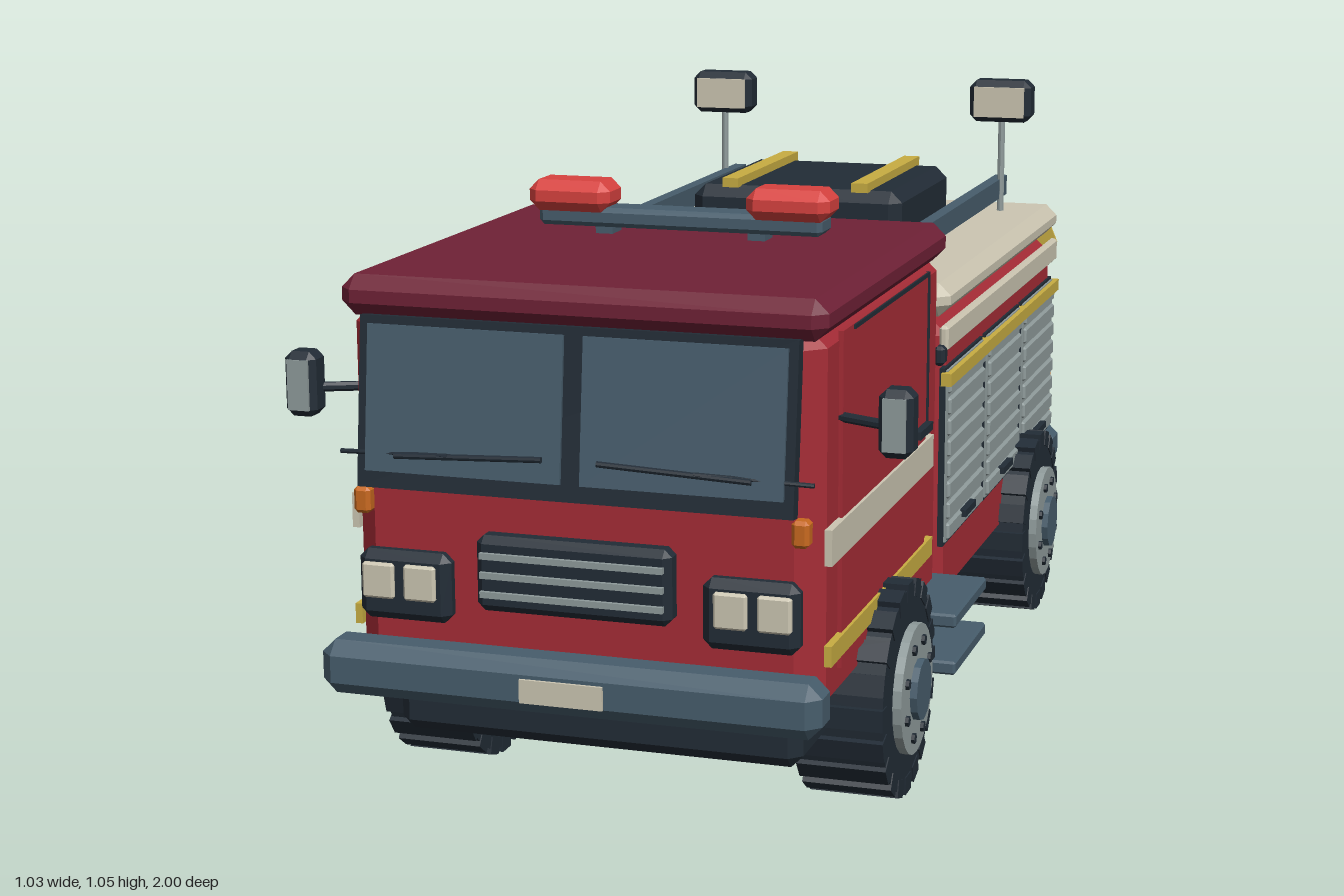
import * as THREE from 'three';
import { ConvexGeometry } from 'three/addons/geometries/ConvexGeometry.js';

const mat = (name, color, flat = true) => {
  const m = new THREE.MeshStandardMaterial({ color, flatShading: flat });
  m.name = name;
  return m;
};
const M = {
  red: mat('body red', 0xa62c36),
  maroon: mat('roof maroon', 0x6f2136),
  cream: mat('cream', 0xccc6b2),
  dark: mat('dark rubber', 0x222c36),
  steel: mat('steel blue', 0x475d6c),
  grey: mat('light grey', 0x8f9b9b),
  yellow: mat('yellow', 0xc8ad42),
  orange: mat('orange', 0xc8691f),
  beacon: mat('beacon red', 0xd8423f),
};
const SIDES = [1, -1];

// Box given by its ranges, with every edge cut by c
function chamferBox(x0, x1, y0, y1, z0, z1, c) {
  const h = [(x1 - x0) / 2, (y1 - y0) / 2, (z1 - z0) / 2];
  const pts = [];
  for (const sx of SIDES) for (const sy of SIDES) for (const sz of SIDES) {
    for (let k = 0; k < 3; k++) {
      const d = h.map((v, i) => (i === k ? v : v - c));
      pts.push(new THREE.Vector3(sx * d[0], sy * d[1], sz * d[2]));
    }
  }
  return new ConvexGeometry(pts);
}

export function createModel() {
  const model = new THREE.Group();
  model.name = 'fireTruck';

  const add = (name, geo, m, x = 0, y = 0, z = 0, parent = model) => {
    const mesh = new THREE.Mesh(geo, m);
    mesh.name = name;
    mesh.position.set(x, y, z);
    parent.add(mesh);
    return mesh;
  };
  // Block by ranges; c is the chamfer
  const block = (name, m, x0, x1, y0, y1, z0, z1, c = 0, parent = model) => add(name,
    c ? chamferBox(x0, x1, y0, y1, z0, z1, c) : new THREE.BoxGeometry(x1 - x0, y1 - y0, z1 - z0),
    m, (x0 + x1) / 2, (y0 + y1) / 2, (z0 + z1) / 2, parent);
  // Same block on both sides, given for the left (+x) side
  const pair = (name, m, x0, x1, y0, y1, z0, z1, c = 0) => {
    block(name + 'Left', m, x0, x1, y0, y1, z0, z1, c);
    block(name + 'Right', m, -x1, -x0, y0, y1, z0, z1, c);
  };
  // Thin round bar between two points
  const rod = (name, m, a, b, r) => {
    const p = new THREE.Vector3(...a), q = new THREE.Vector3(...b);
    const mid = p.clone().add(q).multiplyScalar(0.5);
    const mesh = add(name, new THREE.CylinderGeometry(r, r, p.distanceTo(q), 8), m, mid.x, mid.y, mid.z);
    mesh.quaternion.setFromUnitVectors(new THREE.Vector3(0, 1, 0), q.sub(p).normalize());
  };

  // Chassis and main bodies
  block('chassis', M.dark, -0.34, 0.34, 0.14, 0.26, -0.88, 0.85, 0.02);
  block('cab', M.red, -0.385, 0.385, 0.225, 0.86, 0.115, 0.905, 0.04);
  block('cabRoof', M.maroon, -0.395, 0.395, 0.835, 0.9, 0.11, 0.915, 0.022);
  block('rearBody', M.red, -0.385, 0.385, 0.17, 0.735, -0.917, 0.115, 0.045);
  block('rearRoof', M.cream, -0.395, 0.395, 0.725, 0.785, -0.925, 0.105, 0.022);

  // Bumpers
  block('frontBumper', M.steel, -0.41, 0.41, 0.24, 0.328, 0.91, 0.995, 0.022);
  block('rearBumper', M.steel, -0.395, 0.395, 0.215, 0.295, -1.0, -0.91, 0.02);
  block('numberPlate', M.cream, -0.068, 0.068, 0.262, 0.3, 0.993, 1.0);

  // Windscreen, leaning back
  const screen = new THREE.Group();
  screen.name = 'windscreen';
  screen.position.set(0, 0.705, 0.918);
  screen.rotation.x = -0.11;
  model.add(screen);
  block('windscreenFrame', M.dark, -0.355, 0.355, -0.135, 0.135, -0.012, 0.012, 0, screen);
  for (const s of SIDES) {
    block('windscreenPane', M.steel, s * 0.178 - 0.162, s * 0.178 + 0.162, -0.108, 0.122, 0.012, 0.018, 0, screen);
    rod('wiper', M.dark, [s * 0.385, 0.625, 0.935], [s * 0.2, 0.632, 0.948], 0.004);
    rod('wiperBlade', M.dark, [s * 0.29, 0.626, 0.946], [s * 0.045, 0.637, 0.948], 0.005);
  }

  // Grille
  block('grille', M.dark, -0.16, 0.16, 0.385, 0.507, 0.9, 0.945, 0.012);
  for (const y of [0.415, 0.446, 0.477]) block('grilleSlat', M.grey, -0.15, 0.15, y - 0.005, y + 0.005, 0.943, 0.952);

  // Headlights and indicators
  pair('headlightFrame', M.dark, 0.207, 0.362, 0.355, 0.468, 0.9, 0.94, 0.014);
  for (const x of [0.255, 0.325]) pair('headlight', M.cream, x - 0.027, x + 0.027, 0.392, 0.45, 0.93, 0.947, 0.004);
  pair('indicator', M.orange, 0.345, 0.373, 0.522, 0.565, 0.895, 0.925, 0.006);

  // Light bar
  block('lightBar', M.steel, -0.25, 0.25, 0.912, 0.945, 0.352, 0.42, 0.008);
  pair('lightBarFoot', M.steel, 0.12, 0.15, 0.895, 0.915, 0.365, 0.41);
  pair('beacon', M.beacon, 0.12, 0.265, 0.937, 0.99, 0.347, 0.437, 0.017);

  // Mirrors
  for (const s of SIDES) rod('mirrorArm', M.dark, [s * 0.38, 0.7, 0.79], [s * 0.475, 0.7, 0.832], 0.008);
  pair('mirror', M.dark, 0.462, 0.516, 0.656, 0.762, 0.815, 0.868, 0.012);
  pair('mirrorGlass', M.grey, 0.471, 0.507, 0.668, 0.75, 0.866, 0.871);

  // Cab doors, stripes and steps
  pair('doorPanel', M.red, 0.384, 0.392, 0.3, 0.835, 0.25, 0.8);
  pair('doorRearSeam', M.dark, 0.386, 0.395, 0.55, 0.83, 0.243, 0.25);
  pair('doorTopSeam', M.dark, 0.386, 0.395, 0.827, 0.834, 0.243, 0.74);
  pair('doorHandle', M.dark, 0.39, 0.405, 0.56, 0.574, 0.25, 0.34);
  pair('cabBand', M.cream, 0.385, 0.397, 0.485, 0.542, 0.21, 0.877);
  pair('cabStripe', M.yellow, 0.385, 0.397, 0.325, 0.358, 0.21, 0.877);
  for (const y of [0.252, 0.168]) pair('step', M.steel, 0.33, 0.475, y - 0.012, y + 0.012, 0.115, 0.36, 0.004);
  pair('stepHanger', M.dark, 0.335, 0.385, 0.165, 0.25, 0.13, 0.345);
  pair('bodyBracket', M.dark, 0.375, 0.395, 0.645, 0.68, 0.1, 0.13, 0.006);

  // Roller shutters
  for (const [z0, z1] of [[-0.21, 0.1], [-0.55, -0.235], [-0.888, -0.572]]) {
    pair('shutterFrame', M.dark, 0.38, 0.39, 0.308, 0.635, z0, z1);
    pair('shutter', M.grey, 0.385, 0.394, 0.315, 0.63, z0 + 0.007, z1 - 0.007);
    for (let i = 0; i < 8; i++) {
      const y = 0.318 + i * 0.0385;
      pair('shutterSlat', M.grey, 0.388, 0.4, y, y + 0.031, z0 + 0.01, z1 - 0.01, 0.004);
    }
    const zc = (z0 + z1) / 2;
    pair('shutterHandle', M.dark, 0.395, 0.408, 0.336, 0.349, zc - 0.043, zc + 0.043);
  }
  pair('bodyStripe', M.yellow, 0.385, 0.404, 0.605, 0.628, -0.9, 0.11);
  pair('bodyBand', M.cream, 0.38, 0.397, 0.667, 0.713, -0.91, 0.11, 0.005);
  for (const z of [-0.775, -0.895]) pair('sideMarker', M.orange, 0.38, 0.392, 0.258, 0.28, z - 0.018, z + 0.018);

  // Rear roof: hatch with straps, ladder rails, floodlights
  block('hatch', M.dark, -0.208, 0.208, 0.775, 0.886, -0.705, -0.287, 0.022);
  pair('hatchStrap', M.yellow, 0.113, 0.145, 0.884, 0.902, -0.706, -0.286);
  pair('roofRail', M.steel, 0.273, 0.297, 0.81, 0.85, -0.857, 0.022);
  for (const s of SIDES) rod('floodlightPole', M.grey, [s * 0.298, 0.78, -0.79], [s * 0.298, 0.99, -0.79], 0.007);
  pair('floodlight', M.dark, 0.234, 0.361, 0.97, 1.055, -0.825, -0.76, 0.014);
  pair('floodlightLens', M.cream, 0.246, 0.349, 0.981, 1.042, -0.762, -0.755);

  // Rear chevron and lamps
  for (const s of SIDES) {
    const bar = add('rearChevron', new THREE.BoxGeometry(0.41, 0.036, 0.008), M.yellow, s * 0.19, 0.632, -0.967);
    bar.rotation.z = s * 0.4;
  }
  pair('rearIndicator', M.orange, 0.338, 0.378, 0.395, 0.442, -0.971, -0.963);
  pair('tailLamp', M.beacon, 0.338, 0.378, 0.31, 0.355, -0.971, -0.963);

  // Wheels, built facing +x
  const disc = (name, m, r, x0, x1, parent, y = 0, z = 0, n = 24) => {
    const mesh = add(name, new THREE.CylinderGeometry(r, r, x1 - x0, n), m, (x0 + x1) / 2, y, z, parent);
    mesh.rotation.z = Math.PI / 2;
  };
  for (const z of [0.523, -0.593]) for (const s of SIDES) {
    const wheel = new THREE.Group();
    wheel.name = (z > 0 ? 'front' : 'rear') + (s > 0 ? 'Left' : 'Right') + 'Wheel';
    wheel.position.set(s * 0.36, 0.183, z);
    if (s < 0) wheel.rotation.y = Math.PI;
    model.add(wheel);
    disc('tyre', M.dark, 0.174, -0.073, 0.073, wheel);
    for (let i = 0; i < 20; i++) {
      const a = (i / 20) * Math.PI * 2;
      const lug = add('treadLug', new THREE.BoxGeometry(0.15, 0.03, 0.036), M.dark,
        0, Math.cos(a) * 0.167, Math.sin(a) * 0.167, wheel);
      lug.rotation.x = a;
    }
    disc('rim', M.grey, 0.11, 0.06, 0.088, wheel);
    disc('hub', M.steel, 0.052, 0.08, 0.1, wheel, 0, 0, 12);
    for (let i = 0; i < 8; i++) {
      const a = ((i + 0.5) / 8) * Math.PI * 2;
      disc('wheelNut', M.dark, 0.009, 0.085, 0.094, wheel, Math.cos(a) * 0.082, Math.sin(a) * 0.082, 6);
    }
  }
  return model;
}
